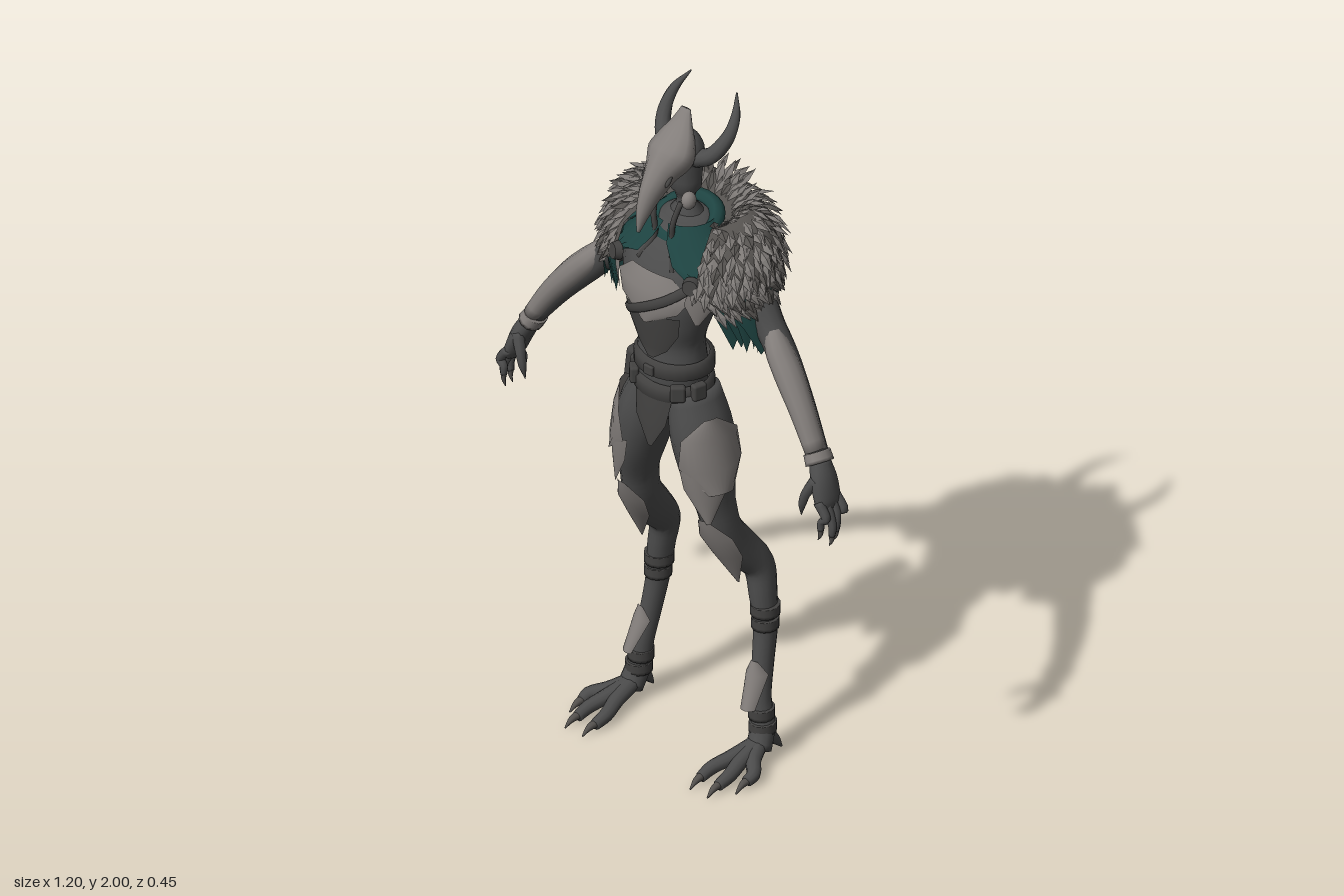
import * as THREE from 'three';
import { mergeGeometries } from 'three/addons/utils/BufferGeometryUtils.js';
import { RoundedBoxGeometry } from 'three/addons/geometries/RoundedBoxGeometry.js';

const mat = (name, color, side = THREE.FrontSide) => {
  const m = new THREE.MeshStandardMaterial({ color, side });
  m.name = name;
  return m;
};

// Tapered tube through [x, y, z, a, b] stations, elliptical in section, closed at both ends
function loft(stations, ref = new THREE.Vector3(1, 0, 0), sides = 14, steps = 4) {
  const curve = new THREE.CatmullRomCurve3(stations.map(p => new THREE.Vector3(p[0], p[1], p[2])));
  const radii = new THREE.CatmullRomCurve3(stations.map(p => new THREE.Vector3(p[3], p[4] ?? p[3], 0)));
  const n = (stations.length - 1) * steps, pos = [], idx = [];
  for (let i = -1; i <= n + 1; i++) {
    const t = THREE.MathUtils.clamp(i / n, 0, 1);
    const c = curve.getPoint(t), r = radii.getPoint(t), d = curve.getTangent(t);
    if (i < 0 || i > n) r.set(0.0005, 0.0005, 0);
    const u = ref.clone().addScaledVector(d, -ref.dot(d)).normalize(), v = d.clone().cross(u);
    for (let j = 0; j < sides; j++) {
      const q = j / sides * Math.PI * 2;
      const p = c.clone().addScaledVector(u, r.x * Math.cos(q)).addScaledVector(v, r.y * Math.sin(q));
      pos.push(p.x, p.y, p.z);
    }
  }
  for (let i = 0; i < n + 2; i++) for (let j = 0; j < sides; j++) {
    const a = i * sides + j, b = i * sides + (j + 1) % sides;
    idx.push(a, b, b + sides, a, b + sides, a + sides);
  }
  return build(pos, idx);
}

function build(pos, idx) {
  const g = new THREE.BufferGeometry();
  g.setAttribute('position', new THREE.Float32BufferAttribute(pos, 3));
  g.setIndex(idx);
  g.computeVertexNormals();
  return g;
}

// Open sheet from rows [y, halfAngle, a, b, cx, cz], angles measured from the front around to +x
function wrap(rows, mid = 0, n = 16, jag = 0, drop = () => 0) {
  const pos = [], idx = [];
  rows.forEach(([y, half, a, b, cx = 0, cz = 0], i) => {
    for (let j = 0; j <= n; j++) {
      const q = mid + half * (2 * j / n - 1), z = cz + b * Math.cos(q);
      const ragged = i === rows.length - 1 ? jag * ((j * 7) % 5) / 4 : 0;
      pos.push(cx + a * Math.sin(q), y + ragged - drop(z), z);
      if (i && j) {
        const k = i * (n + 1) + j, u = k - n - 1;
        idx.push(u - 1, k - 1, k, u - 1, k, u);
      }
    }
  });
  return build(pos, idx);
}

export function createModel() {
  const root = new THREE.Group();
  root.name = 'hornedCreature';
  const D = THREE.DoubleSide, Z = new THREE.Vector3(0, 0, 1);
  const skin = mat('dark skin', 0x4c4c4c), bone = mat('bone', 0x827d7a, D), cloth = mat('teal cloth', 0x1e4442, D);
  const furLight = mat('light fur', 0x7b7774, D), furDark = mat('dark fur', 0x55524f, D), leather = mat('leather', 0x434241, D);
  const add = (name, geo, m, parent = root) => {
    const mesh = new THREE.Mesh(geo, m);
    mesh.name = name;
    parent.add(mesh);
    return mesh;
  };
  const ball = (name, m, p, s, parent = root) => {
    const o = add(name, new THREE.SphereGeometry(1, 16, 12), m, parent);
    o.position.set(...p); o.scale.set(...s);
    return o;
  };

  // Torso and neck
  add('torso', loft([[0, 1.06, 0.06, 0.085, 0.075], [0, 1.2, 0.065, 0.105, 0.085], [0, 1.28, 0.065, 0.098, 0.078],
    [0, 1.36, 0.068, 0.122, 0.09], [0, 1.45, 0.058, 0.155, 0.108], [0, 1.53, 0.03, 0.18, 0.1],
    [0, 1.6, 0.005, 0.12, 0.075], [0, 1.65, 0.005, 0.055, 0.045]], undefined, 24), skin);
  add('neck', loft([[0, 1.56, 0, 0.065, 0.055], [0, 1.65, 0.008, 0.048, 0.041], [0, 1.73, 0.014, 0.048, 0.041], [0, 1.84, 0.018, 0.059, 0.05]]), skin);

  // Skull mask, back of the head, horns and cheek tubes
  ball('backOfHead', skin, [0, 1.842, 0.02], [0.061, 0.066, 0.052]);
  add('skullMask', loft([[0, 1.665, 0.198, 0.004, 0.006], [0, 1.715, 0.18, 0.018, 0.023], [0, 1.765, 0.15, 0.03, 0.038],
    [0, 1.81, 0.11, 0.045, 0.048], [0, 1.85, 0.07, 0.07, 0.054], [0, 1.89, 0.045, 0.058, 0.036],
    [0, 1.93, 0.025, 0.034, 0.018], [0, 1.967, 0.01, 0.016, 0.006]], undefined, 12), bone);
  for (const s of [-1, 1]) {
    add('horn', loft([[0.04, 1.83, 0.02, 0.026], [0.085, 1.85, 0.005, 0.023], [0.112, 1.9, -0.03, 0.019],
      [0.109, 1.95, -0.065, 0.013], [0.082, 1.998, -0.1, 0.002]].map(([x, ...r]) => [s * x, ...r]), Z, 10), skin);
    ball('eyeSlit', leather, [s * 0.042, 1.805, 0.125], [0.006, 0.006, 0.018]).rotation.x = 0.8;
    ball('cheekKnob', bone, [s * 0.055, 1.722, 0.06], [0.02, 0.026, 0.022]);
    add('breathingTube', loft([[s * 0.045, 1.72, 0.08, 0.008], [s * 0.035, 1.66, 0.1, 0.008], [s * 0.03, 1.6, 0.1, 0.008],
      [s * 0.06, 1.53, 0.13, 0.008]], undefined, 8), leather);
  }

  // Chest plates, brooches and crossing strap
  add('breastPlate', wrap([[1.52, 0.4, 0.182, 0.114, 0, 0.038], [1.47, 0.85, 0.17, 0.117, 0, 0.056],
    [1.42, 0.7, 0.153, 0.113, 0, 0.066], [1.37, 0.04, 0.134, 0.102, 0, 0.072]]), bone);
  for (const s of [-1, 1]) add('shoulderPlate', wrap([[1.52, 0.3, 0.195, 0.125, 0, 0.035], [1.46, 0.32, 0.185, 0.125, 0, 0.05],
    [1.39, 0.04, 0.165, 0.11, 0, 0.06]], s, 8), bone);
  add('bellyPlate', wrap([[1.4, 0.75, 0.143, 0.104, 0, 0.066], [1.34, 0.8, 0.121, 0.094, 0, 0.07],
    [1.28, 0.5, 0.103, 0.084, 0, 0.067], [1.25, 0.1, 0.104, 0.084, 0, 0.067]]), leather);
  add('chestStrap', loft([[0.15, 1.53, 0.12, 0.006, 0.014], [0.08, 1.47, 0.17, 0.006, 0.014], [0, 1.42, 0.182, 0.006, 0.014],
    [-0.08, 1.37, 0.15, 0.006, 0.014], [-0.12, 1.34, 0.09, 0.006, 0.014]], Z, 8), leather);
  for (const s of [-1, 1]) {
    const b = add('brooch', new THREE.CylinderGeometry(0.022, 0.027, 0.02, 16), leather);
    b.position.set(s * 0.135, 1.52, 0.14);
    b.rotation.set(1.4, 0, -s * 0.4);
  }

  // Belts, pouches and loincloth
  const hips = new THREE.Group();
  hips.name = 'hipGear';
  hips.position.x = 0.01;
  root.add(hips);
  for (const y of [1.2, 1.13]) add('belt', wrap([[y + 0.045, Math.PI, 0.1, 0.085, 0, 0.066], [y + 0.038, Math.PI, 0.115, 0.1, 0, 0.067],
    [y + 0.003, Math.PI, 0.116, 0.1, 0, 0.067], [y - 0.003, Math.PI, 0.1, 0.085, 0, 0.066]], 0, 28), leather, hips);
  for (const a of [-1.3, -0.75, 0, 0.75, 1.3]) {
    const p = add('beltPouch', new RoundedBoxGeometry(0.042, 0.05, 0.025, 2, 0.008), leather, hips);
    p.position.set(0.115 * Math.sin(a), a ? 1.165 : 1.22, 0.067 + 0.1 * Math.cos(a));
    p.rotation.y = a;
    if (!a) p.scale.set(0.8, 0.6, 0.6);
  }
  const pouch = add('hipPouch', new RoundedBoxGeometry(0.065, 0.145, 0.09, 3, 0.015), leather, hips);
  pouch.position.set(-0.165, 1.085, 0.01);
  pouch.rotation.z = -0.12;
  for (const [m, tip] of [[0, 0.98], [Math.PI, 1.06]]) add('loincloth', wrap([[1.14, 0.6, 0.115, 0.1, 0, 0.065],
    [(1.14 + tip) / 2, 0.45, 0.12, 0.105, 0, 0.065], [tip, 0.06, 0.11, 0.1, 0, 0.065]], m, 10), leather, hips);

  // Legs with plates, straps and clawed feet
  for (const s of [-1, 1]) {
    const leg = new THREE.Group();
    leg.name = s > 0 ? 'leftLeg' : 'rightLeg';
    leg.position.x = 0.012;
    root.add(leg);
    const side = rows => rows.map(([x, ...r]) => [s * x, ...r]);
    const plate = (name, rows, mid) => add(name, wrap(rows.map(([y, h, a, b, x, z]) => [y, h, a, b, s * x, z]), s * mid, 12), bone, leg);
    add('leg', loft(side([[0.06, 1.14, 0.06, 0.06, 0.08], [0.095, 1.02, 0.065, 0.08, 0.092], [0.12, 0.9, 0.065, 0.062, 0.082],
      [0.137, 0.8, 0.055, 0.046, 0.06], [0.145, 0.72, 0.036, 0.046, 0.055], [0.153, 0.64, -0.018, 0.044, 0.055],
      [0.168, 0.565, -0.077, 0.04, 0.046], [0.182, 0.48, -0.08, 0.036, 0.041], [0.192, 0.38, -0.078, 0.031, 0.036],
      [0.2, 0.28, -0.06, 0.028, 0.033], [0.21, 0.18, -0.04, 0.028, 0.03], [0.222, 0.1, -0.035, 0.034, 0.035],
      [0.23, 0.04, -0.01, 0.036, 0.033]])), skin, leg);
    plate('upperThighPlate', [[1.1, 0.2, 0.08, 0.1, 0.085, 0.065], [1.04, 1.0, 0.088, 0.104, 0.094, 0.065],
      [0.95, 1.35, 0.085, 0.1, 0.112, 0.065], [0.88, 0.4, 0.085, 0.094, 0.12, 0.065]], 1.2);
    plate('lowerThighPlate', [[0.95, 0.9, 0.078, 0.094, 0.115, 0.065], [0.88, 0.85, 0.07, 0.088, 0.123, 0.064],
      [0.78, 0.1, 0.058, 0.074, 0.135, 0.058]], 0.6);
    plate('kneeGuard', [[0.785, 0.3, 0.048, 0.066, 0.14, 0.058], [0.72, 1.15, 0.055, 0.07, 0.146, 0.04],
      [0.65, 1.05, 0.052, 0.072, 0.155, -0.003], [0.55, 0.08, 0.045, 0.054, 0.166, -0.045]], 0.15);
    plate('shinGuard', [[0.3, 0.3, 0.034, 0.04, 0.198, -0.058], [0.26, 1.2, 0.035, 0.045, 0.202, -0.05],
      [0.17, 0.6, 0.036, 0.06, 0.21, -0.03]], 0.2);
    for (const [x, y, z, r] of [[0.19, 0.435, -0.08, 0.04], [0.192, 0.395, -0.078, 0.037], [0.216, 0.14, -0.037, 0.035], [0.222, 0.1, -0.035, 0.037]])
      add('legStrap', loft([[s * x, y + 0.016, z, r, r + 0.002], [s * x, y - 0.016, z, r, r + 0.002]]), leather, leg);
    for (const [x, z] of [[0.19, 0.175], [0.252, 0.175], [0.295, 0.11]]) {
      add('toe', loft(side([[0.225, 0.055, -0.02, 0.026, 0.024], [(0.225 + x) / 2, 0.042, z * 0.4, 0.022, 0.02],
        [x, 0.03, z * 0.75, 0.019, 0.019], [x, 0.02, z, 0.015, 0.016]]), undefined, 10), skin, leg);
      add('toeClaw', loft(side([[x, 0.024, z - 0.012, 0.013], [x + 0.002, 0.02, z + 0.02, 0.009], [x + 0.003, 0.004, z + 0.045, 0.002]]), undefined, 8), furDark, leg);
    }
    add('heelSpur', loft(side([[0.226, 0.07, -0.04, 0.025], [0.228, 0.045, -0.07, 0.017], [0.23, 0.006, -0.1, 0.003]]), undefined, 8), skin, leg);
  }

  // Arms with forearm guards on the front, hands and claws
  for (const s of [-1, 1]) {
    const arm = new THREE.Group();
    arm.name = s > 0 ? 'leftArm' : 'rightArm';
    root.add(arm);
    const limb = (name, rows, m = skin, sides = 12) => add(name, loft(rows.map(([x, ...r]) => [s * x, ...r]), Z, sides), m, arm);
    limb('arm', [[0.15, 1.51, -0.01, 0.07], [0.23, 1.45, -0.012, 0.055], [0.29, 1.385, -0.008, 0.042], [0.34, 1.325, 0, 0.043, 0.04],
      [0.43, 1.22, 0.025, 0.037, 0.034], [0.505, 1.115, 0.045, 0.03, 0.027]]);
    limb('forearmGuard', [[0.28, 1.412, -0.01, 0.003], [0.305, 1.388, 0.002, 0.026], [0.34, 1.345, 0.014, 0.04, 0.036], [0.38, 1.3, 0.024, 0.042, 0.038],
      [0.445, 1.219, 0.041, 0.037, 0.033], [0.505, 1.125, 0.054, 0.033, 0.026]], bone);
    limb('wristCuff', [[0.502, 1.118, 0.047, 0.04, 0.032], [0.518, 1.092, 0.052, 0.043, 0.034]], bone);
    limb('palm', [[0.515, 1.1, 0.05, 0.03, 0.026], [0.54, 1.05, 0.06, 0.043, 0.027], [0.558, 1.0, 0.066, 0.045, 0.022], [0.564, 0.975, 0.068, 0.036, 0.015]]);
    for (let i = 0; i < 4; i++) {
      const z = 0.034 + i * 0.022, d = [0.03, 0.005, 0, 0.02][i];
      limb('finger', [[0.556, 1.005, z, 0.014], [0.577 + d / 3, 0.965, z, 0.013], [0.59 - d, 0.93 + d, z + 0.003, 0.011], [0.588 - d, 0.905 + d, z + 0.004, 0.009]], skin, 8);
      limb('fingerClaw', [[0.588 - d, 0.91 + d, z + 0.004, 0.009], [0.588 - d, 0.89 + d, z + 0.005, 0.006], [0.58 - d, 0.872 + d, z + 0.006, 0.001]], furDark, 8);
    }
    limb('thumb', [[0.535, 1.06, 0.085, 0.018], [0.512, 1.015, 0.1, 0.014], [0.502, 0.98, 0.103, 0.011], [0.495, 0.94, 0.1, 0.001]], skin, 8);
  }

  // Cloth cape, front flaps, open cowl and collar ring
  add('cape', wrap([[1.62, 2.3, 0.14, 0.1, 0, -0.02], [1.55, 2.3, 0.25, 0.16, 0, -0.015], [1.48, 2.3, 0.275, 0.16, 0, -0.01],
    [1.4, 2.05, 0.285, 0.14, 0, -0.005], [1.315, 1.75, 0.285, 0.125, 0, 0]], Math.PI, 60, 0.015), cloth);
  for (const s of [-1, 1]) {
    add('capeFrontFlap', wrap([[1.53, 0.45, 0.255, 0.145, 0, 0.005], [1.43, 0.42, 0.275, 0.12, 0, 0],
      [1.31, 0.26, 0.275, 0.09, 0, -0.01]], s * 1.1, 12, 0.05), cloth);
    add('cowl', wrap([[1.645, 0.85, 0.085, 0.08, 0, 0.01], [1.6, 0.75, 0.13, 0.1, 0, 0.018], [1.55, 0.6, 0.18, 0.113, 0, 0.028],
      [1.52, 0.3, 0.19, 0.118, 0, 0.038]], s * 0.95, 14, 0.02), cloth);
  }
  const collar = add('collarRing', new THREE.TorusGeometry(0.08, 0.024, 8, 28), cloth);
  collar.position.set(0, 1.615, 0.005);
  collar.rotation.x = Math.PI / 2 + 0.35;

  // Fur mantle: dark base sheet sloping down at the front, covered with layered tufts
  const profile = [[1.625, 2.1, 0.09, 0.065, 0, -0.025], [1.672, 2.3, 0.15, 0.11, 0, -0.04], [1.64, 2.5, 0.23, 0.16, 0, -0.026],
    [1.57, 2.58, 0.27, 0.178, 0, -0.016], [1.505, 2.35, 0.27, 0.167, 0, -0.012]];
  const frontDrop = z => 0.3 * Math.max(0, z + 0.06);
  add('mantleBase', wrap(profile, Math.PI, 40, 0, frontDrop), furDark);
  let seed = 7;
  const rnd = () => (seed = (seed * 16807) % 2147483647) / 2147483647;
  const at = (t, q) => {
    const f = THREE.MathUtils.clamp(t, 0, 0.9999) * (profile.length - 1), i = Math.floor(f);
    const [y, h, a, b, , c] = profile[i].map((v, k) => THREE.MathUtils.lerp(v, profile[i + 1][k], f - i));
    const g = Math.PI + q * h, z = c + b * Math.cos(g);
    return new THREE.Vector3(a * Math.sin(g), y - frontDrop(z), z);
  };
  const tufts = [[], []];
  for (let r = 0; r < 12; r++) {
    const count = 24 + r * 3;
    for (let j = 0; j < count; j++) {
      const t = 0.06 + 0.94 * (r + rnd() * 0.7) / 12, q = THREE.MathUtils.clamp((j + rnd() * 0.6) / count * 2 - 1, -0.99, 0.99);
      const p = at(t, q), down = at(t + 0.04, q).sub(at(t - 0.04, q)).normalize();
      const across = at(t, q + 0.01).sub(at(t, q - 0.01)).normalize();
      const out = down.clone().cross(across).normalize();
      if (out.dot(p.clone().sub(new THREE.Vector3(0, 1.5, 0))) < 0) out.negate();
      const len = 0.052 + rnd() * 0.025, w = 0.012 + rnd() * 0.005;
      down.addScaledVector(out, (0.15 + rnd() * 0.2) * Math.min(1, t * 3)).addScaledVector(across, (rnd() - 0.5) * 0.5).normalize();
      const pt = (l, x, o) => p.clone().addScaledVector(down, l * len).addScaledVector(across, x * w).addScaledVector(out, o).toArray();
      const [base, left, right, ridge, tip] = [pt(0, 0, 0), pt(0.45, -1, 0.002), pt(0.45, 1, 0.002), pt(0.45, 0, 0.008), pt(1, 0, 0)];
      const corners = [base, left, ridge, base, ridge, right, left, tip, ridge, ridge, tip, right].flat();
      tufts[rnd() < 0.78 ? 0 : 1].push(build(corners, [...Array(12).keys()]));
    }
  }
  add('lightFurTufts', mergeGeometries(tufts[0]), furLight);
  add('darkFurTufts', mergeGeometries(tufts[1]), furDark);
  return root;
}
